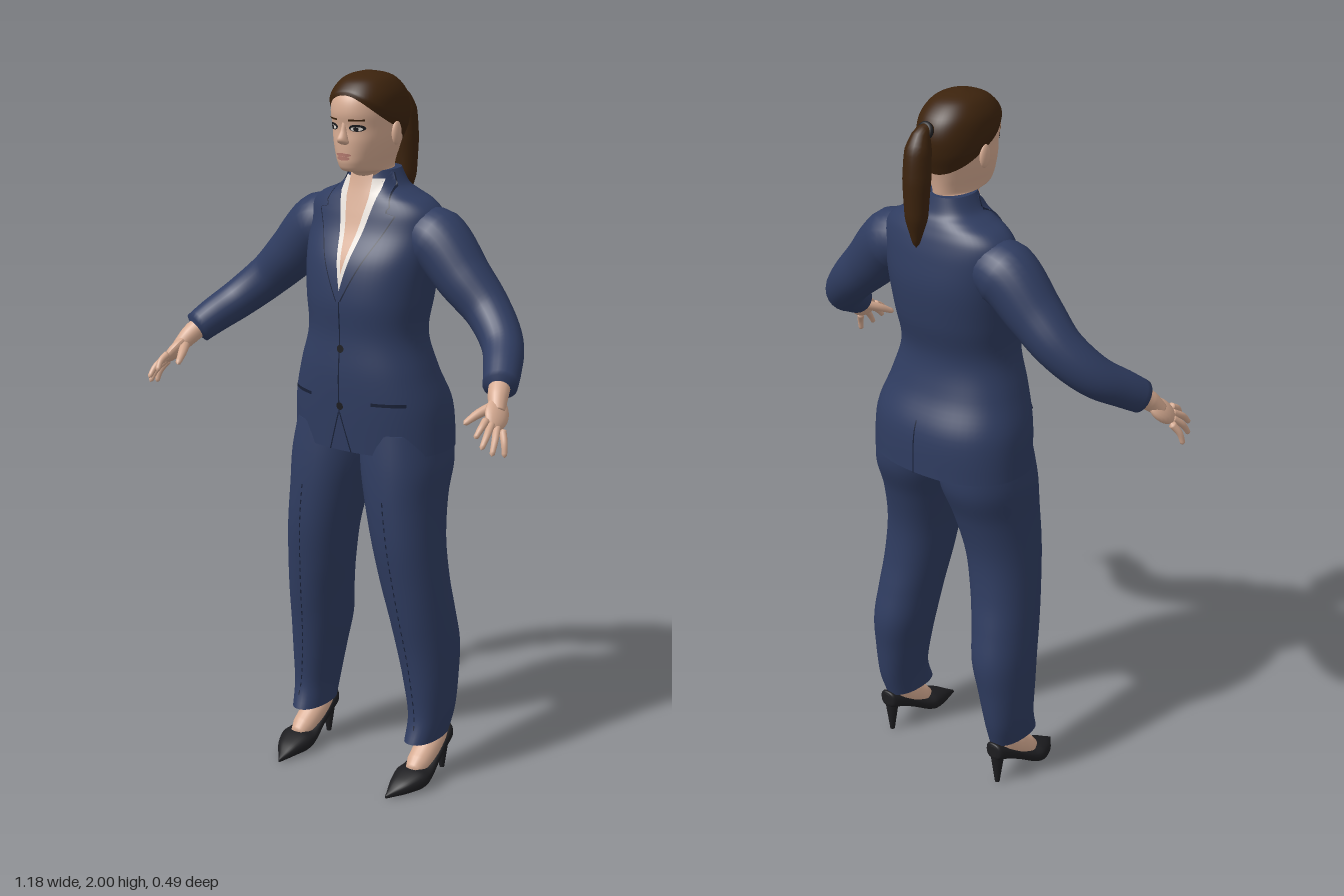
import * as THREE from 'three';
import { mergeVertices } from 'three/addons/utils/BufferGeometryUtils.js';

const V = (x, y, z) => new THREE.Vector3(x, y, z);
const lerp = THREE.MathUtils.lerp;

// Surface from a rule f(row, column), optionally wrapped around and capped
function grid(f, nr, nc, wrap = false, caps = false) {
  const pos = [], idx = [], w = wrap ? nc : nc + 1;
  for (let i = 0; i <= nr; i++) for (let j = 0; j < w; j++) pos.push(...f(i / nr, j / nc));
  for (let i = 0; i < nr; i++) for (let j = 0; j < nc; j++) {
    const a = i * w + j, b = i * w + (j + 1) % w;
    idx.push(a, a + w, b, b, a + w, b + w);
  }
  if (caps) for (const t of [0, 1]) {
    const base = pos.length / 3, c = [0, 0, 0];
    for (let j = 0; j < w; j++) {
      const p = f(t, j / nc);
      pos.push(...p);
      p.forEach((v, k) => { c[k] += v / w; });
    }
    pos.push(...c);
    for (let j = 0; j < w; j++) {
      const a = base + j, b = base + (j + 1) % w;
      idx.push(base + w, t ? b : a, t ? a : b);
    }
  }
  const g = new THREE.BufferGeometry();
  g.setAttribute('position', new THREE.Float32BufferAttribute(pos, 3));
  g.setIndex(idx);
  return g;
}

// Smooth cross-sections [y, centre x, half width, front z, back z], dense rows
function sections(list, n = 2, per = 6) {
  const rows = [], last = list.length - 1;
  for (let i = 0; i < last; i++) for (let k = 0; k < per; k++) {
    const t = k / per, [p, q, r, s] = [-1, 0, 1, 2].map(d => list[Math.min(last, Math.max(0, i + d))]);
    rows.push(q.map((v, m) => v + 0.5 * t * (r[m] - p[m] + t * (2 * p[m] - 5 * v + 4 * r[m] - s[m]
      + t * (3 * (v - r[m]) + s[m] - p[m])))));
  }
  rows.push(list[last]);
  return { rows, n };
}
const rim = ([y, cx, hw, zf, zb], n, a, grow = 0) => {
  const c = Math.cos(a), s = Math.sin(a), e = 2 / n;
  return [cx + (hw + grow) * Math.sign(c) * Math.abs(c) ** e, y,
    (zf + zb) / 2 + ((zf - zb) / 2 + grow) * Math.sign(s) * Math.abs(s) ** e];
};
const loft = (S, sides = 40) => grid((t, u) =>
  rim(S.rows[Math.round(t * (S.rows.length - 1))], S.n, u * Math.PI * 2), S.rows.length - 1, sides, true, true);
function rowAt({ rows }, y) {
  let i = 1;
  while (i < rows.length - 1 && rows[i][0] < y) i++;
  const a = rows[i - 1], b = rows[i], t = THREE.MathUtils.clamp((y - a[0]) / (b[0] - a[0]), 0, 1);
  return a.map((v, k) => (k ? lerp(v, b[k], t) : y));
}

// Thin panel lying on the front (or back) of a lofted part
function patch(S, y0, y1, xl, xr, lift, back = false, nr = 16, nc = 8) {
  return grid((t, u) => {
    const y = lerp(y0, y1, t), [, cx, hw, zf, zb] = rowAt(S, y);
    const x = back ? lerp(xl(y), xr(y), u) : lerp(xr(y), xl(y), u);
    const k = Math.min(0.985, Math.abs(x - cx) / hw);
    const z = (zf - zb) / 2 * (1 - k ** S.n) ** (1 / S.n) + lift;
    return [x, y, (zf + zb) / 2 + (back ? -z : z)];
  }, nr, nc);
}
function oval(S, x, y, w, h, lift) {
  const half = v => w * Math.sqrt(Math.max(0, 1 - ((v - y) / h) ** 2));
  return patch(S, y - h, y + h, v => x - half(v), v => x + half(v), lift, false, 12, 6);
}

// Tube through points [x, y, z, radius] with rounded-off ends
function limb(pts, sides = 20, steps = 28) {
  const curve = new THREE.CatmullRomCurve3(pts.map(p => V(...p)));
  const g = new THREE.TubeGeometry(curve, steps, 1, sides), P = g.attributes.position, v = V();
  for (let i = 0; i <= steps; i++) {
    const t = curve.getUtoTmapping(i / steps) * (pts.length - 1), k = Math.min(pts.length - 2, Math.floor(t));
    const r = (i === 0 || i === steps) ? 0.0004 : lerp(pts[k][3], pts[k + 1][3], t - k);
    const c = curve.getPointAt(i / steps);
    for (let j = 0; j <= sides; j++) {
      const m = i * (sides + 1) + j;
      v.fromBufferAttribute(P, m).sub(c).multiplyScalar(r).add(c);
      P.setXYZ(m, v.x, v.y, v.z);
    }
  }
  g.deleteAttribute('uv'); g.deleteAttribute('normal');
  return mergeVertices(g, 1e-5);
}
const ball = (x, y, z, a, b, c) => new THREE.SphereGeometry(1, 20, 14).scale(a, b, c).translate(x, y, z);

export function createModel() {
  const model = new THREE.Group();
  const mats = {};
  for (const [name, color] of Object.entries({ navy: 0x2f3c60, seam: 0x182036, skin: 0xd6ab92, hair: 0x3c230d,
    black: 0x1d1d20, white: 0xe6dfd8, lips: 0xb57c70 }))
    mats[name] = Object.assign(new THREE.MeshStandardMaterial({ color, side: THREE.DoubleSide }), { name });
  const add = (name, geo, mat, s = 1) => {
    if (s < 0) {
      geo.scale(-1, 1, 1);
      const I = geo.index.array;
      for (let i = 0; i < I.length; i += 3) [I[i], I[i + 1]] = [I[i + 1], I[i]];
    }
    geo.computeVertexNormals();
    const mesh = new THREE.Mesh(geo, mats[mat]);
    mesh.name = name;
    model.add(mesh);
  };

  // Jacket body
  const torso = sections([[0.98, 0, 0.237, 0.085, -0.238], [1.1, 0, 0.23, 0.092, -0.232], [1.2, 0, 0.2, 0.094, -0.192],
    [1.3, 0, 0.171, 0.088, -0.172], [1.4, 0, 0.18, 0.092, -0.193], [1.5, 0, 0.192, 0.075, -0.205],
    [1.58, 0, 0.2, 0.035, -0.198], [1.63, 0, 0.197, 0.018, -0.187], [1.66, 0, 0.17, 0.008, -0.176],
    [1.68, 0, 0.125, 0.002, -0.167], [1.7, 0, 0.088, -0.004, -0.156], [1.74, 0, 0.063, -0.012, -0.146]], 2.3);
  add('jacketBody', loft(torso, 56), 'navy');
  // Shirt and bare neckline in the V opening
  const open = y => 0.064 * Math.max(0, Math.min(1, (y - 1.42) / 0.27));
  add('shirt', patch(torso, 1.42, 1.72, y => -open(y), open, 0.003), 'white');
  const bare = y => 0.036 * Math.max(0, Math.min(1, (y - 1.47) / 0.2));
  add('neckline', patch(torso, 1.47, 1.738, y => -bare(y), bare, 0.006), 'skin');
  // Front closing, hem notch and back vent
  add('frontSeam', patch(torso, 1.09, 1.42, () => -0.002, () => 0.002, 0.003), 'seam');
  for (const y of [1.11, 1.27]) add('button', oval(torso, 0.005, y, 0.011, 0.011, 0.006), 'black');
  add('backVent', patch(torso, 0.98, 1.13, () => -0.002, () => 0.002, 0.003, true), 'seam');

  // Head and neck
  const head = sections([[1.62, 0, 0.055, -0.03, -0.125], [1.7, 0, 0.05, -0.018, -0.128], [1.735, 0, 0.051, 0.01, -0.132],
    [1.745, 0, 0.052, 0.054, -0.134], [1.765, 0, 0.058, 0.068, -0.138], [1.79, 0, 0.067, 0.071, -0.144],
    [1.825, 0, 0.077, 0.072, -0.154], [1.86, 0, 0.083, 0.07, -0.164], [1.9, 0, 0.086, 0.077, -0.167],
    [1.94, 0, 0.081, 0.068, -0.153], [1.97, 0, 0.063, 0.04, -0.122], [1.985, 0, 0.04, 0.008, -0.09],
    [1.993, 0, 0.004, -0.036, -0.044]], 2.15);
  add('head', loft(head, 48), 'skin');
  const nose = sections([[1.818, 0, 0.011, 0.074, 0.06], [1.824, 0, 0.017, 0.086, 0.05], [1.835, 0, 0.014, 0.092, 0.05],
    [1.855, 0, 0.009, 0.08, 0.05], [1.88, 0, 0.007, 0.072, 0.055]]);
  add('nose', loft(nose, 16), 'skin');
  add('upperLip', oval(head, 0, 1.791, 0.024, 0.005, 0.004), 'lips');
  add('lowerLip', oval(head, 0, 1.782, 0.02, 0.006, 0.005), 'lips');

  // Swept-back hair above a dropping hairline
  add('hair', grid((t, u) => {
    const a = u * Math.PI * 2, s = Math.sin(a);
    const y0 = s > 0 ? 1.862 + 0.084 * s ** 1.3 : 1.862 - 0.062 * (-s) ** 0.8;
    const y = lerp(y0, 1.993, 1 - (1 - t) ** 1.6);
    const p = rim(rowAt(head, y), head.n, a, 0.0065 * Math.min(1, t * 6 + 0.2));
    p[1] += 0.007 * t;
    return p;
  }, 24, 56, true, true), 'hair');
  add('ponytail', limb([[0, 1.915, -0.15, 0.02], [0, 1.922, -0.185, 0.02], [0, 1.88, -0.204, 0.035],
    [0, 1.8, -0.212, 0.037], [0, 1.7, -0.215, 0.03], [0, 1.62, -0.217, 0.006]]), 'hair');
  add('hairTie', new THREE.TorusGeometry(0.018, 0.007, 10, 20).rotateX(0.25).translate(0, 1.922, -0.178), 'black');

  // Trouser leg sections
  const leg = sections([[0.13, 0.2, 0.045, 0.035, -0.135], [0.2, 0.203, 0.053, 0.014, -0.155], [0.3, 0.197, 0.066, 0.018, -0.168],
    [0.4, 0.187, 0.077, 0.03, -0.178], [0.5, 0.176, 0.082, 0.048, -0.162], [0.6, 0.162, 0.088, 0.064, -0.146],
    [0.72, 0.146, 0.094, 0.08, -0.145], [0.84, 0.129, 0.104, 0.084, -0.172], [0.94, 0.118, 0.116, 0.08, -0.208],
    [1.04, 0.108, 0.108, 0.07, -0.21]], 2.25);
  const shoe = sections([[-0.146, 0.205, 0.014, -0.095, -0.13], [-0.138, 0.205, 0.028, -0.085, -0.138],
    [-0.1, 0.205, 0.036, -0.072, -0.118], [-0.05, 0.206, 0.041, -0.045, -0.085], [0, 0.206, 0.05, -0.014, -0.06],
    [0.035, 0.206, 0.052, -0.001, -0.058], [0.08, 0.202, 0.036, 0, -0.042], [0.115, 0.195, 0.015, 0, -0.022],
    [0.136, 0.191, 0.003, -0.001, -0.01]], 2.5);

  for (const s of [1, -1]) {
    // Lapel, its outline, pocket and hem notch
    const edge = y => (y < 1.635 ? lerp(0.004, 0.122, (y - 1.4) / 0.235)
      : y < 1.65 ? 0.094 : lerp(0.1, 0.072, (y - 1.65) / 0.085));
    add('lapel', patch(torso, 1.4, 1.735, y => Math.max(0.001, open(y)), edge, 0.008, false, 48), 'navy', s);
    add('lapelEdge', patch(torso, 1.4, 1.735, edge, y => edge(y) + 0.004, 0.007, false, 48, 2), 'seam', s);
    add('pocket', patch(torso, 1.122, 1.131, () => 0.1, () => 0.185, 0.004, false, 2), 'seam', s);
    add('hemNotch', patch(torso, 0.98, 1.09, y => 0.3 * (1.09 - y), y => 0.3 * (1.09 - y) + 0.004, 0.003), 'seam', s);

    // Eye, brow and ear
    add('lashes', oval(head, 0.037, 1.863, 0.019, 0.0095, 0.003), 'black', s);
    add('eyeWhite', oval(head, 0.037, 1.861, 0.014, 0.0055, 0.005), 'white', s);
    add('iris', oval(head, 0.037, 1.861, 0.006, 0.0058, 0.007), 'black', s);
    add('brow', patch(head, 1.881, 1.886, () => 0.018, () => 0.056, 0.003, false, 2), 'hair', s);
    add('ear', ball(0.086, 1.842, -0.048, 0.01, 0.032, 0.018), 'skin', s);

    // Sleeve with cuff line
    add('sleeve', limb([[0.1, 1.57, -0.09, 0.07], [0.19, 1.56, -0.088, 0.088], [0.285, 1.47, -0.082, 0.075],
      [0.365, 1.395, -0.075, 0.063], [0.44, 1.325, -0.03, 0.056], [0.485, 1.277, 0.04, 0.05],
      [0.513, 1.24, 0.096, 0.044]], 24, 40), 'navy', s);

    // Hand: wrist, palm, four fingers and thumb
    const across = V(0.05, -0.055, -0.06).normalize(), along = V(0.035, -0.07, 0.085);
    along.addScaledVector(across, -along.dot(across)).normalize();
    const palm = new THREE.SphereGeometry(1, 20, 14).scale(0.035, 0.05, 0.018);
    palm.applyMatrix4(new THREE.Matrix4().makeBasis(across, along, across.clone().cross(along)).setPosition(0.536, 1.194, 0.142));
    add('palm', palm, 'skin', s);
    add('wrist', limb([[0.498, 1.262, 0.065, 0.03], [0.517, 1.23, 0.108, 0.027], [0.535, 1.195, 0.14, 0.02]]), 'skin', s);
    [[0.53, 1.15, 0.234], [0.555, 1.128, 0.243], [0.572, 1.108, 0.22], [0.584, 1.096, 0.178]].forEach((tip, i) => {
      const k = V(0.546, 1.176, 0.168).addScaledVector(across, (i - 1.5) * 0.017);
      const m = k.clone().lerp(V(...tip), 0.55).add(V(0.004, 0.005, 0.003));
      add('finger', limb([[k.x, k.y, k.z, 0.0105], [m.x, m.y, m.z, 0.009], [...tip, 0.0065]], 10, 14), 'skin', s);
    });
    add('thumb', limb([[0.522, 1.212, 0.12, 0.015], [0.495, 1.193, 0.168, 0.012], [0.478, 1.172, 0.208, 0.007]], 10, 14), 'skin', s);

    // Trouser leg with pressed crease
    add('trouserLeg', loft(leg, 40), 'navy', s);
    const crease = y => lerp(0.207, 0.137, (y - 0.15) / 0.7);
    for (let y = 0.17; y < 0.86; y += 0.024)
      add('crease', patch(leg, y, y + 0.013, v => crease(v) - 0.002, v => crease(v) + 0.002, 0.002, false, 1, 1), 'seam', s);

    // Foot in a pointed court shoe
    add('foot', limb([[0.203, 0.2, -0.085, 0.036], [0.204, 0.13, -0.088, 0.036], [0.205, 0.095, -0.05, 0.038],
      [0.206, 0.06, 0.0, 0.034], [0.206, 0.04, 0.035, 0.02]]), 'skin', s);
    add('shoe', loft(shoe, 28).rotateX(Math.PI / 2), 'black', s);
    const heel = new THREE.CylinderGeometry(0.021, 0.007, 0.1, 14, 4);
    add('heel', heel.translate(0.205, 0.05, -0.124), 'black', s);
  }
  return model;
}
